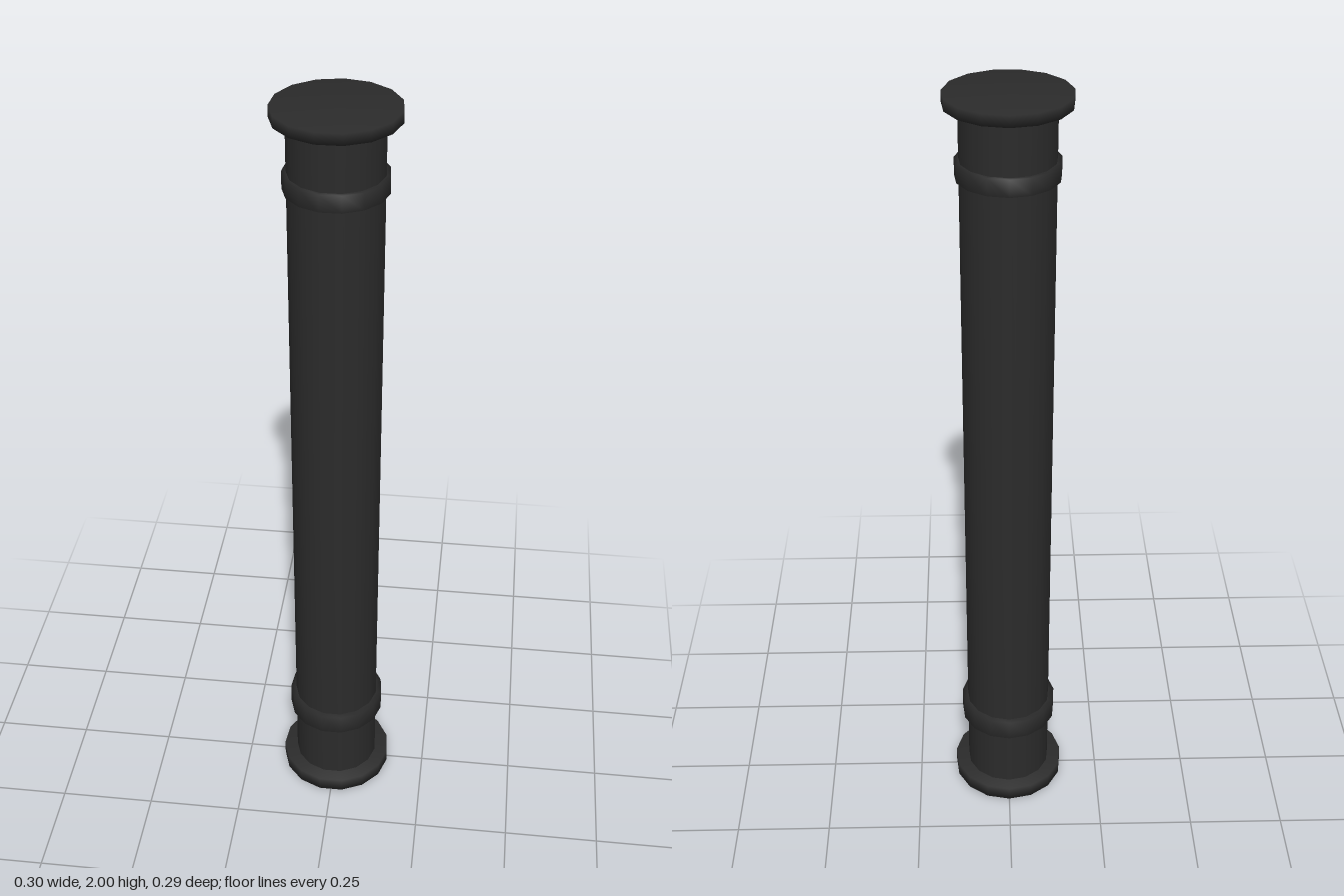
import * as THREE from 'three';

const SIDES = 15;
const SHAFT_R = 0.113;

export function createModel() {
  const column = new THREE.Group();
  column.name = 'column';
  const material = new THREE.MeshStandardMaterial({ color: 0x2b2b2b });

  // Turns a [radius, height] profile, listed from bottom to top, with a corner at the back
  function addTurned(name, profile) {
    const points = profile.map(([r, y]) => new THREE.Vector2(r, y));
    const mesh = new THREE.Mesh(new THREE.LatheGeometry(points, SIDES, Math.PI), material);
    mesh.name = name;
    column.add(mesh);
  }

  // A softly shaded disc or band; inner = 0 makes it a closed disc
  const addDisc = (name, inner, outer, y0, y1) =>
    addTurned(name, [[inner, y0], [outer, y0], [outer, y1], [inner, y1]]);

  // Long plain shaft, its ends hidden in the plates
  addTurned('shaft', [[SHAFT_R, 0.01], [SHAFT_R, 1.99]]);

  // Foot and top plates
  addDisc('basePlate', 0, 0.149, 0, 0.038);
  addDisc('topPlate', 0, 0.149, 1.973, 2);

  // Raised collars around the shaft
  addDisc('lowerCollar', SHAFT_R - 0.003, 0.128, 0.21, 0.266);
  addDisc('upperCollar', SHAFT_R - 0.003, 0.123, 1.804, 1.846);

  return column;
}
